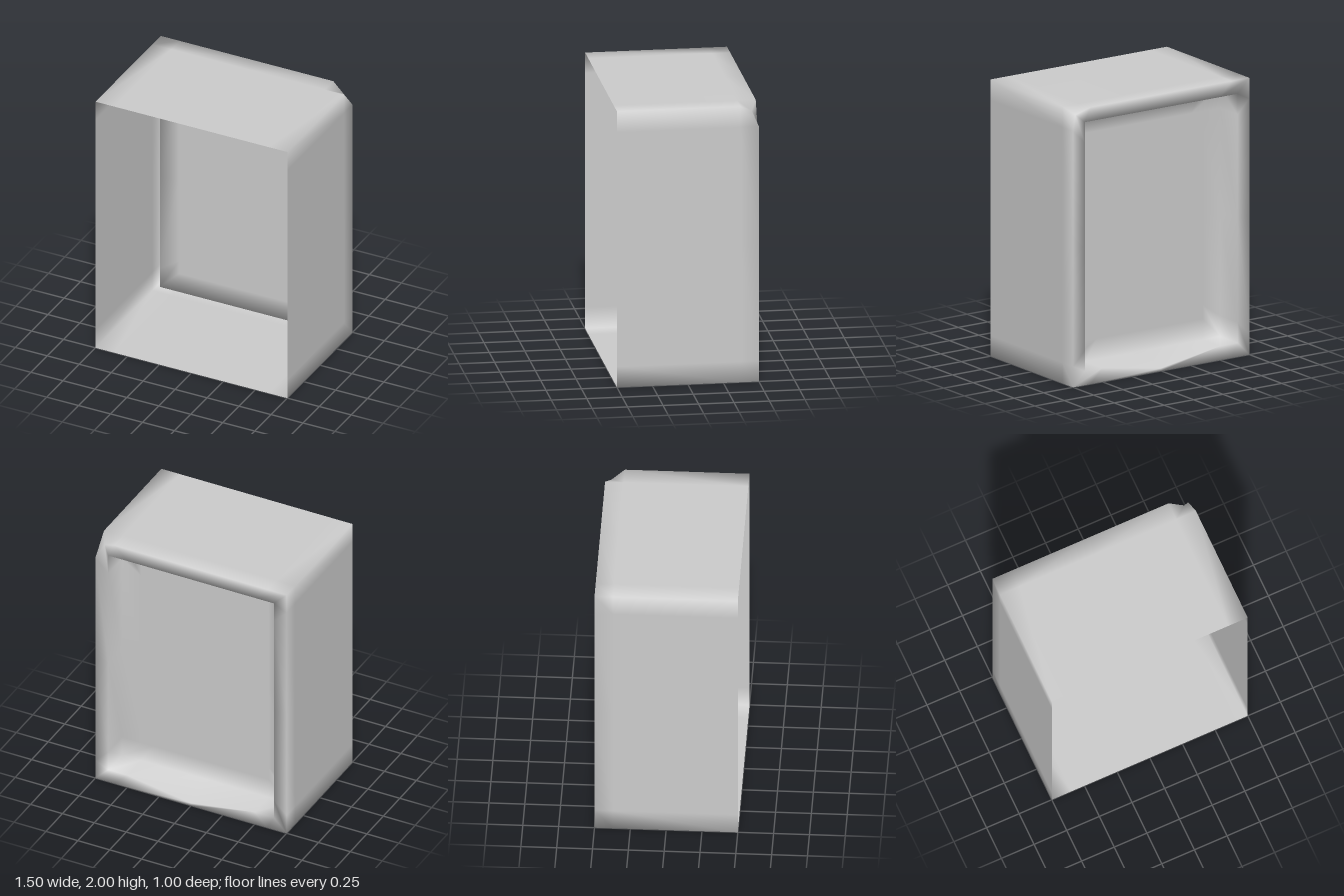
import * as THREE from 'three';

// One rectangular ring of 16 points, counter-clockwise, centred on y = 1
function ring(hw, hh, z, inset) {
  const a = hw - inset, b = hh - inset;
  const pts = [];
  for (const y of [-hh, -b, 0, b]) pts.push([hw, y]);
  for (const x of [hw, a, 0, -a]) pts.push([x, hh]);
  for (const y of [hh, b, 0, -b]) pts.push([-hw, y]);
  for (const x of [-hw, -a, 0, a]) pts.push([x, -hh]);
  return pts.map(([x, y]) => new THREE.Vector3(x, y + 1, z));
}

export function createModel() {
  const group = new THREE.Group();

  const rings = [
    ring(0.75, 1, 0.5, 0.15),     // open front edge
    ring(0.75, 1, -0.37, 0.15),   // support loop
    ring(0.75, 1, -0.5, 0.15),    // outer back edge
    ring(0.65, 0.9, -0.5, 0.15),  // inner edge of back rim
    ring(0.65, 0.9, -0.29, 0.15), // foot of the recess
    ring(0.5, 0.75, -0.29, 0.1),  // recessed panel
  ];

  // Cut-off upper back corner and the dip in the lower rim
  rings[2][4].set(0.7, 1.95, -0.457);
  rings[3][14].y = 0.02;

  const points = rings.flat();
  points.push(new THREE.Vector3(0, 1, -0.29));
  const n = 16, index = [];
  for (let i = 0; i < rings.length - 1; i++) {
    for (let j = 0; j < n; j++) {
      const k = (j + 1) % n;
      const a = i * n + j, b = i * n + k, c = a + n, d = b + n;
      index.push(a, c, b, b, c, d);
    }
  }
  // Close the recessed panel
  const last = (rings.length - 1) * n;
  for (let j = 0; j < n; j++) index.push(last + j, points.length - 1, last + (j + 1) % n);

  const geometry = new THREE.BufferGeometry().setFromPoints(points);
  geometry.setIndex(index);
  geometry.computeVertexNormals();

  const shell = new THREE.Mesh(geometry, new THREE.MeshStandardMaterial({
    color: 0xcccccc, side: THREE.DoubleSide,
  }));
  shell.name = 'openCasingWithRecessedBack';
  group.add(shell);
  return group;
}
